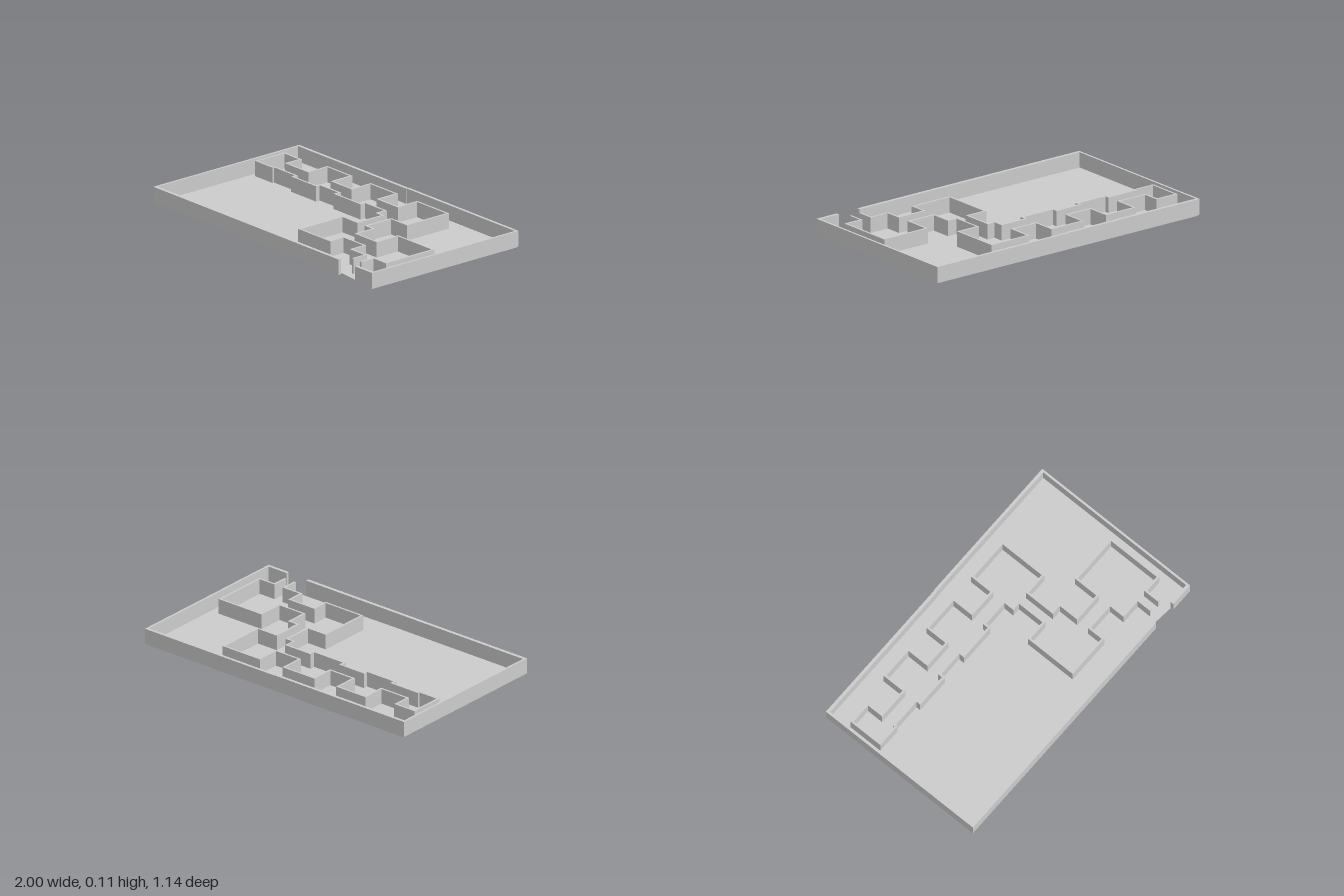
import * as THREE from 'three';

const material = new THREE.MeshStandardMaterial({ color: 0xcccccc, flatShading: true });
const TOP = 0.106; // rim height shared by all walls

// Extrudes a plan outline of [x, z] points upward from y0 to y1.
function slab(name, outline, y0, y1) {
  const shape = new THREE.Shape(outline.map(([x, z]) => new THREE.Vector2(x, -z)));
  const geometry = new THREE.ExtrudeGeometry(shape, { depth: y1 - y0, bevelEnabled: false });
  geometry.rotateX(-Math.PI / 2).translate(0, y0, 0);
  const mesh = new THREE.Mesh(geometry, material);
  mesh.name = name;
  return mesh;
}

// Plan rectangle between two corners.
const rect = (x0, z0, x1, z1) => [[x0, z0], [x1, z0], [x1, z1], [x0, z1]];

// Turns an open centre line into a closed, mitred wall outline.
function wallOutline(points, thickness) {
  const p = points.map(([x, z]) => new THREE.Vector2(x, z));
  const normals = p.slice(1).map((b, i) => {
    const d = b.clone().sub(p[i]).normalize();
    return new THREE.Vector2(-d.y, d.x);
  });
  const left = [], right = [];
  p.forEach((c, i) => {
    const a = normals[Math.max(i - 1, 0)];
    const b = normals[Math.min(i, normals.length - 1)];
    const m = a.clone().add(b).multiplyScalar(thickness / 2 / (1 + a.dot(b)));
    left.push([c.x + m.x, c.y + m.y]);
    right.push([c.x - m.x, c.y - m.y]);
  });
  return [...left, ...right.reverse()];
}

export function createModel() {
  const model = new THREE.Group();
  model.name = 'mazeTray';

  // Thin floor, its front edge slightly skewed at the entrance
  model.add(slab('floor', [
    [-0.99, -0.565], [0.99, -0.565], [0.99, 0.565], [0.69, 0.535], [-0.99, 0.56],
  ], 0, 0.01));

  // Perimeter wall with an entrance gap at the front
  const perimeter = new THREE.Group();
  perimeter.name = 'perimeterWall';
  perimeter.add(
    slab('backWallRight', rect(0, -0.575, 1, -0.556), 0.008, TOP),
    slab('backWallLeft', rect(-1, -0.572, 0, -0.552), 0.008, TOP),
    slab('leftSideWall', rect(0.986, -0.556, 1, 0.55), 0.008, TOP),
    slab('rightSideWall', rect(-1, -0.552, -0.986, 0.545), 0.008, TOP),
    slab('frontWallLong', rect(-1, 0.545, 0.69, 0.567), 0.008, TOP),
    slab('frontWallShort', rect(0.845, 0.55, 1, 0.57), 0.008, TOP),
  );
  model.add(perimeter);

  // One continuous wall around the chain of rooms and corridors
  const path = [
    // entrance corridor, far side of the large room
    [0.805, 0.49], [0.805, 0.39], [0.92, 0.39], [0.92, 0.025], [0.6, 0.025], [0.6, 0.19],
    // corridor and second room
    [0.41, 0.19], [0.41, 0.055], [0.345, 0.055], [0.345, -0.14],
    // corner room
    [0.49, -0.14], [0.49, -0.455], [0.213, -0.455], [0.213, -0.305],
    // two middle rooms, back side
    [0.03, -0.305], [0.03, -0.45], [-0.205, -0.45], [-0.205, -0.303],
    [-0.385, -0.303], [-0.385, -0.45], [-0.6, -0.45], [-0.6, -0.303],
    // end room
    [-0.803, -0.303], [-0.803, -0.412], [-0.948, -0.412], [-0.948, -0.195],
    [-0.803, -0.195], [-0.803, -0.207],
    // two middle rooms, front side
    [-0.6, -0.207], [-0.6, -0.178], [-0.385, -0.178], [-0.385, -0.207],
    [-0.205, -0.207], [-0.205, -0.172], [0.03, -0.172], [0.03, -0.207],
    // corner room to second room
    [0.213, -0.207], [0.213, -0.14], [0.265, -0.14], [0.265, 0.055],
    [0.13, 0.055], [0.13, 0.39], [0.41, 0.39], [0.41, 0.285],
    // back to the entrance corridor
    [0.6, 0.285], [0.6, 0.39], [0.73, 0.39], [0.73, 0.49],
  ];
  model.add(slab('roomWalls', wallOutline(path, 0.013), 0.008, TOP));

  return model;
}
